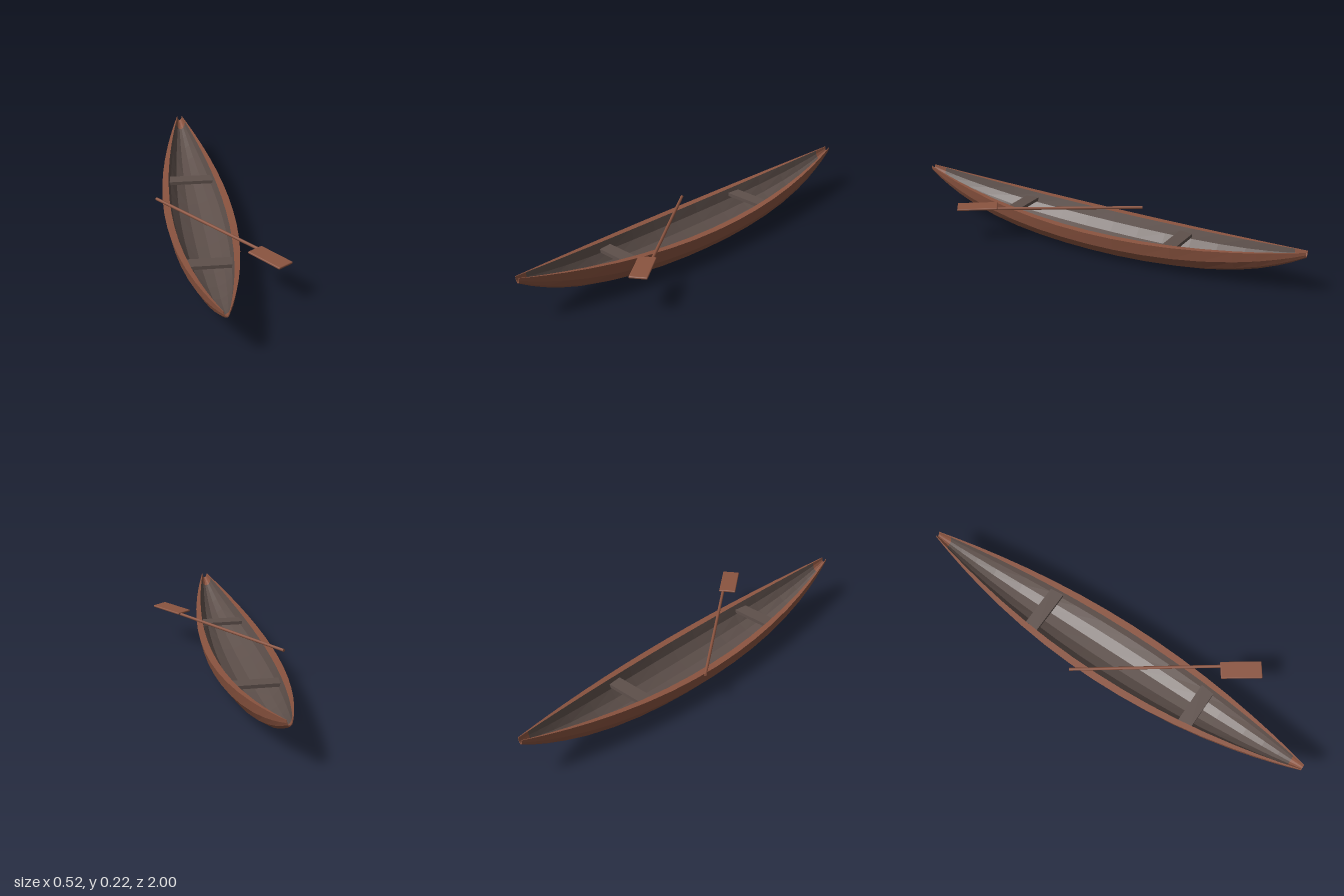
import * as THREE from 'three';
import { RoundedBoxGeometry } from 'three/addons/geometries/RoundedBoxGeometry.js';

const CX = -0.068;   // canoe centre line
const SIDES = 7;     // facets across the hull
const WALL = 0.79;   // inner section relative to outer

// hull lines along the length
const halfWidth = z => 0.0135 + 0.1465 * (1 - z * z);
const sheer = z => 0.136 + 0.084 * z * z;
const depth = z => 0.028 + 0.111 * (1 - z ** 4);

// closed cross-section: outer half ellipse down and round, inner one back
function section(z) {
  const pts = [];
  const arc = (j, k) => {
    const a = Math.PI * j / SIDES;
    pts.push([CX + k * halfWidth(z) * Math.cos(a), sheer(z) - k * depth(z) * Math.sin(a), z]);
  };
  for (let j = 0; j <= SIDES; j++) arc(j, 1);
  for (let j = SIDES; j >= 0; j--) arc(j, WALL);
  return pts;
}

function hullGeometries() {
  const half = [0.14, 0.28, 0.42, 0.56, 0.7, 0.8, 0.88, 0.94, 1];
  const stations = [...half.map(z => -z).reverse(), 0, ...half];
  const rings = stations.map(section);
  const n = rings[0].length;
  const shell = [], lining = [];
  const quad = (out, a, b, c, d) => out.push(...a, ...b, ...c, ...a, ...c, ...d);

  for (let i = 0; i < rings.length - 1; i++) {
    const isTip = i === 0 || i === rings.length - 2;
    for (let j = 0; j < n; j++) {
      const k = (j + 1) % n;
      const inside = j > SIDES && j < n - 1;
      quad(inside && !isTip ? lining : shell,
        rings[i][j], rings[i + 1][j], rings[i + 1][k], rings[i][k]);
    }
  }
  // end faces of the wall at bow and stern
  const back = rings[0], front = rings[rings.length - 1];
  for (let j = 0; j < SIDES; j++) {
    const p = n - 1 - j, q = n - 2 - j;
    quad(front === back ? [] : shell, front[j], front[p], front[q], front[j + 1]);
    quad(shell, back[j], back[j + 1], back[q], back[p]);
  }
  return [shell, lining].map(data => {
    const g = new THREE.BufferGeometry();
    g.setAttribute('position', new THREE.Float32BufferAttribute(data, 3));
    g.computeVertexNormals();
    return g;
  });
}

export function createModel() {
  const model = new THREE.Group();
  model.name = 'canoe';
  const wood = new THREE.MeshStandardMaterial({ color: 0x8b5440 });
  wood.name = 'reddish wood';
  const dark = new THREE.MeshStandardMaterial({ color: 0x5e504b });
  dark.name = 'dark wood';

  const add = (name, geometry, material, parent = model) => {
    const mesh = new THREE.Mesh(geometry, material);
    mesh.name = name;
    parent.add(mesh);
    return mesh;
  };

  // hull with gunwale and tips, and its lining
  const [shell, lining] = hullGeometries();
  add('hull', shell, wood);
  add('lining', lining, dark);

  // two benches across the hull
  for (const [name, z, width] of [['rearBench', -0.388, 0.228], ['frontBench', 0.458, 0.22]]) {
    add(name, new THREE.BoxGeometry(width, 0.016, 0.066), dark).position.set(CX, 0.12, z);
  }

  // paddle lying across the gunwales
  const paddle = new THREE.Group();
  paddle.name = 'paddle';
  model.add(paddle);
  const start = new THREE.Vector3(-0.256, 0.16, -0.113);
  const end = new THREE.Vector3(0.143, 0.174, 0.457);
  const dir = end.clone().sub(start);
  const shaft = add('paddleShaft', new THREE.CylinderGeometry(0.007, 0.007, dir.length(), 10), wood, paddle);
  shaft.position.copy(start).add(end).multiplyScalar(0.5);
  shaft.quaternion.setFromUnitVectors(new THREE.Vector3(0, 1, 0), dir.normalize());

  const blade = add('paddleBlade', new THREE.BoxGeometry(0.08, 0.01, 0.188), wood, paddle);
  blade.geometry = new RoundedBoxGeometry(0.08, 0.01, 0.188, 2, 0.004);
  blade.position.set(0.175, 0.179, 0.54);
  blade.rotation.y = 0.61;
  return model;
}
